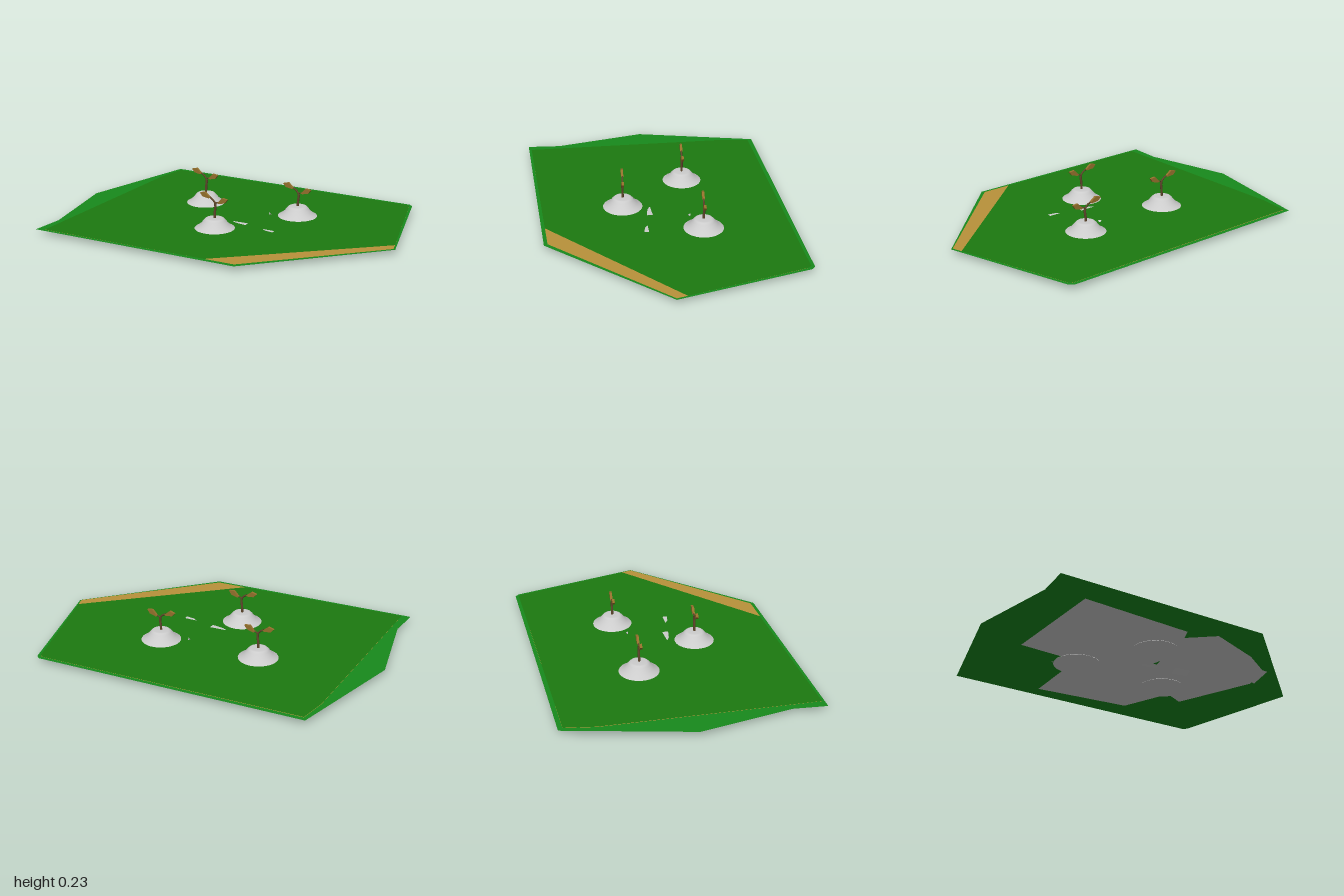
import * as THREE from 'three';

const mat = (color) => new THREE.MeshStandardMaterial({ color, side: THREE.DoubleSide });
const GREY = mat(0xcccccc);
const LEAF = mat(0x94702c);
const STEM = mat(0x5f472b);
const GROUND_Y = 0.03;

function add(parent, name, geometry, material) {
  const mesh = new THREE.Mesh(geometry, material);
  mesh.name = name;
  parent.add(mesh);
  return mesh;
}

// Horizontal polygon from [x, z] corners, facing up, height given by a rule
function sheet(points, heightAt) {
  const shape = new THREE.Shape(points.map(([x, z]) => new THREE.Vector2(x, -z)));
  const geometry = new THREE.ShapeGeometry(shape).rotateX(-Math.PI / 2);
  const p = geometry.attributes.position;
  for (let i = 0; i < p.count; i++) p.setY(i, heightAt(p.getX(i), p.getZ(i)));
  geometry.computeVertexNormals();
  return geometry;
}

// Wavy strip running along z through [z, y] knots, slightly tilted across x
function ribbon(x0, x1, knots) {
  const curve = new THREE.CatmullRomCurve3(knots.map(([z, y]) => new THREE.Vector3(0, y, z)));
  const steps = 24;
  const tilt = 0.0015;
  const positions = [];
  const index = [];
  for (let i = 0; i <= steps; i++) {
    const c = curve.getPoint(i / steps);
    positions.push(x0, c.y, c.z, x1, c.y + tilt, c.z);
    const a = i * 2;
    if (i < steps) index.push(a, a + 1, a + 2, a + 1, a + 3, a + 2);
  }
  const geometry = new THREE.BufferGeometry();
  geometry.setAttribute('position', new THREE.Float32BufferAttribute(positions, 3));
  geometry.setIndex(index);
  geometry.computeVertexNormals();
  return geometry;
}

// Thin upright angular leaf, base at the origin, tip towards +x
function leafGeometry() {
  const outline = [[0, 0], [0.01, -0.004], [0.05, 0.006], [0.066, 0.028], [0.032, 0.033]];
  const depth = 0.014;
  const shape = new THREE.Shape(outline.map(([x, y]) => new THREE.Vector2(x, y)));
  return new THREE.ExtrudeGeometry(shape, { depth, bevelEnabled: false }).translate(0, 0, -depth / 2);
}

function stalk(points, radius) {
  const curve = new THREE.CatmullRomCurve3(points.map(([x, y]) => new THREE.Vector3(x, y, 0)));
  return new THREE.TubeGeometry(curve, 10, radius, 8);
}

function createPlant(x, z, drop) {
  const plant = new THREE.Group();
  plant.name = 'plant';
  plant.position.set(x, 0, z);

  // Soil mound with flared skirt and flat top
  const profile = [[0, 0.018], [0.136, 0.018], [0.134, 0.021], [0.106, 0.034], [0.08, 0.054],
    [0.062, 0.077], [0.052, 0.087], [0.042, 0.09], [0, 0.09]];
  add(plant, 'mound', new THREE.LatheGeometry(profile.map(([r, y]) => new THREE.Vector2(r, y)), 40), GREY);

  // Stem forking into two leaf stalks
  const seedling = new THREE.Group();
  seedling.name = 'seedling';
  seedling.position.y = -drop;
  plant.add(seedling);
  add(seedling, 'stem', stalk([[0, 0.075], [0.002, 0.13], [0.006, 0.16], [0.003, 0.182]], 0.007), STEM);
  add(seedling, 'leftStalk', stalk([[0.003, 0.176], [0.014, 0.182], [0.028, 0.185]], 0.004), STEM);
  add(seedling, 'rightStalk', stalk([[0.003, 0.178], [-0.012, 0.195], [-0.032, 0.207]], 0.005), STEM);

  const leaf = leafGeometry();
  add(seedling, 'leftLeaf', leaf, LEAF).position.set(0.022, 0.183, 0);
  const right = add(seedling, 'rightLeaf', leaf, LEAF);
  right.position.set(-0.028, 0.205, 0);
  right.rotation.set(0, Math.PI, -0.12);
  return plant;
}

export function createModel() {
  const model = new THREE.Group();
  model.name = 'seedlingPatch';

  // Layered ground: grass border, darker grass, and soil surfacing along one edge
  const outline = [[-1, 0.07], [-0.88, -0.65], [0.72, -0.79], [0.745, -0.77], [1, -0.03],
    [0.41, 0.66], [-0.85, 0.785], [-0.85, 0.59]];
  const inner = [[-0.8, 0.765], [-0.875, -0.45], [-0.86, -0.625], [0.715, -0.77], [0.735, -0.75],
    [0.99, -0.03], [0.4, 0.64]];
  add(model, 'grassBorder', sheet(outline, () => GROUND_Y - 0.0025), mat(0x188a1c));
  add(model, 'grass', sheet(inner, () => GROUND_Y), mat(0x1c7a10));
  add(model, 'soil', sheet(inner, (x, z) => GROUND_Y + 0.001 * (x + z - 0.88)), mat(0xb8923a));

  // Grey slabs under the ground
  const slabs = [
    [[0.67, 0.25], [0.71, 0.05], [0.47, -0.39], [0.33, -0.3], [0.1, -0.1], [0.05, 0.42], [0.21, 0.53], [0.51, 0.38]],
    [[0.2, -0.6], [-0.38, -0.6], [-0.36, -0.26], [-0.47, -0.2], [-0.1, 0], [0.15, -0.1], [0.36, -0.3]],
    [[0.03, 0.5], [-0.63, 0.6], [-0.71, -0.07], [-0.3, -0.13], [0.02, -0.06], [0.12, 0.2]],
  ];
  slabs.forEach((s, i) => add(model, 'underSlab', sheet(s, () => 0.024 - i * 0.0005), GREY));

  // Curled lip at the edge of a slab
  add(model, 'slabLip', sheet([[0.58, 0.1], [0.6, 0.26], [0.71, 0.24], [0.72, 0.08]],
    (x, z) => (z > 0.2 ? 0.027 : 0.027 - Math.max(0, x - 0.6) * 0.09)), GREY);

  // Wavy strips whose crests just break through the ground
  add(model, 'wavyStrip', ribbon(0.2, 0.3,
    [[0.26, 0.024], [0.18, 0.012], [0.08, 0.0297], [-0.01, 0], [-0.1, 0.021]]), GREY);
  add(model, 'wavyStrip', ribbon(0.005, 0.105,
    [[0.24, 0.024], [0.15, 0.016], [0.055, 0.0301], [-0.03, 0.01], [-0.12, 0.022]]), GREY);

  // Small chip lying on the grass
  add(model, 'chip', new THREE.TetrahedronGeometry(0.012), GREY).position.set(0.12, 0.033, -0.165);

  // Three seedlings on mounds
  for (const [x, z, drop] of [[-0.33, -0.155, 0], [0.265, -0.235, 0.012], [-0.015, 0.212, 0]]) {
    model.add(createPlant(x, z, drop));
  }
  return model;
}
